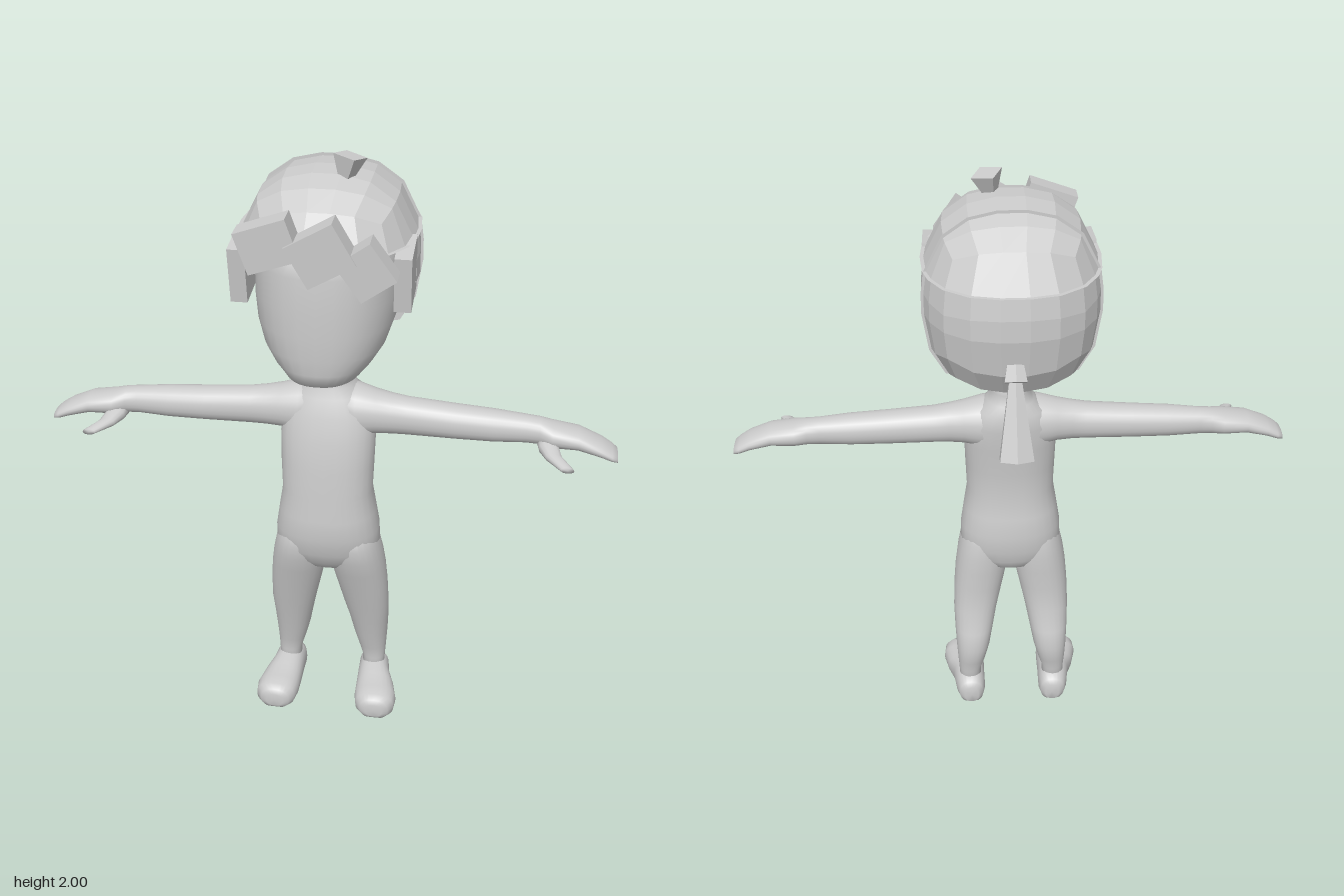
import * as THREE from 'three';

// Loft of superelliptic rings [t, a, b, ra, rb] along one axis (axis order y:(x,z) x:(z,y) z:(y,x))
const PLACE = {
  y: (t, a, b) => [a, t, b],
  x: (t, a, b) => [t, b, a],
  z: (t, a, b) => [b, a, t],
};
function loft(axis, rings, sides = 24, n = 2.2, floor = -Infinity) {
  const pos = [], index = [];
  const put = (t, a, b) => {
    const p = PLACE[axis](t, a, b);
    pos.push(p[0], Math.max(p[1], floor), p[2]);
  };
  const curve = (v) => Math.sign(v) * Math.abs(v) ** (2 / n);
  for (const [t, a, b, ra, rb] of rings)
    for (let j = 0; j < sides; j++) {
      const th = (j / sides) * Math.PI * 2;
      put(t, a + ra * curve(Math.cos(th)), b + rb * curve(Math.sin(th)));
    }
  for (let i = 0; i < rings.length - 1; i++)
    for (let j = 0; j < sides; j++) {
      const k = (j + 1) % sides, p = i * sides, q = p + sides;
      index.push(p + j, q + j, p + k, q + j, q + k, p + k);
    }
  // end caps
  const last = (rings.length - 1) * sides, c = rings.length * sides;
  put(...rings[0].slice(0, 3));
  put(...rings[rings.length - 1].slice(0, 3));
  for (let j = 0; j < sides; j++) {
    const k = (j + 1) % sides;
    index.push(c, j, k, c + 1, last + k, last + j);
  }
  const g = new THREE.BufferGeometry();
  g.setAttribute('position', new THREE.Float32BufferAttribute(pos, 3));
  g.setIndex(index);
  g.computeVertexNormals();
  return g;
}

// Vertical ring from half width and back/front depth
const span = (y, w, back, front) => [y, 0, (back + front) / 2, w, (front - back) / 2];

function mirrored(geo) {
  const g = geo.clone().scale(-1, 1, 1), idx = g.index.array;
  for (let i = 0; i < idx.length; i += 3) [idx[i], idx[i + 1]] = [idx[i + 1], idx[i]];
  g.computeVertexNormals();
  return g;
}

function faceted(geo) {
  const g = geo.toNonIndexed();
  g.computeVertexNormals();
  return g;
}

// Blocky rounded hair volume, cut off below minY and in front of maxZ.
// Grid rows listed in SNAP lie exactly on the cut planes, so the pieces share facets.
const HAIR = { centre: [0, 1.65, 0.04], radius: [0.268, 0.297, 0.292], n: 2.45 };
const SNAP = [{}, { 6: 1.765, '-2': 1.63 }, { 3: 0.12, '-3': -0.06 }];
function hairShell(minY, maxZ) {
  const { centre, radius, n } = HAIR;
  const box = new THREE.BoxGeometry(2, 2, 2, 5, 5, 6), p = box.attributes.position;
  for (let i = 0; i < p.count; i++) {
    const b = [p.getX(i), p.getY(i), p.getZ(i)];
    const d = b.map((v) => Math.tan(v * Math.PI / 4));
    const target = b.map((v, k) => SNAP[k][Math.round(v * 10)]);
    let fixed = 0, free = 0;
    for (let k = 0; k < 3; k++) {
      if (target[k] !== undefined) {
        d[k] = (target[k] - centre[k]) / radius[k];
        fixed += Math.abs(d[k]) ** n;
      } else free += Math.abs(d[k]) ** n;
    }
    const r = ((1 - fixed) / free) ** (1 / n);
    const [x, y, z] = d.map((v, k) => centre[k] + radius[k] * (target[k] === undefined ? v * r : v));
    p.setXYZ(i, x, Math.max(minY, y), Math.min(maxZ, z));
  }
  // one flat normal for each four-sided facet
  const g = faceted(box), nor = g.attributes.normal, v = new THREE.Vector3(), w = new THREE.Vector3();
  for (let i = 0; i < nor.count; i += 6) {
    v.fromBufferAttribute(nor, i).add(w.fromBufferAttribute(nor, i + 3)).normalize();
    for (let j = i; j < i + 6; j++) nor.setXYZ(j, v.x, v.y, v.z);
  }
  return g;
}

export function createModel() {
  const model = new THREE.Group();
  model.name = 'figure';
  const clay = new THREE.MeshStandardMaterial({ color: 0xcccccc });
  clay.name = 'light grey';

  const add = (name, geo, at = [0, 0, 0], turn = [0, 0, 0]) => {
    const m = new THREE.Mesh(geo, clay);
    m.name = name;
    m.position.set(...at);
    m.rotation.set(...turn);
    model.add(m);
  };
  const pair = (name, geo) => {
    add('left' + name, geo);
    add('right' + name, mirrored(geo));
  };

  // Torso and neck
  add('torso', loft('y', [
    span(0.575, 0.05, 0.03, 0.12), span(0.6, 0.11, 0, 0.155), span(0.635, 0.155, -0.015, 0.183),
    span(0.68, 0.174, -0.024, 0.204), span(0.75, 0.171, -0.03, 0.22), span(0.82, 0.16, -0.018, 0.218),
    span(0.9, 0.147, -0.005, 0.21), span(1.0, 0.15, -0.01, 0.205), span(1.1, 0.152, -0.02, 0.19),
    span(1.18, 0.145, -0.03, 0.17), span(1.235, 0.11, -0.028, 0.15), span(1.265, 0.075, -0.01, 0.135),
    span(1.3, 0.062, 0, 0.13), span(1.37, 0.062, 0, 0.13),
  ], 28, 2.3));

  // Legs, narrowing into the hips
  pair('Leg', loft('y', [
    [0.05, 0.153, 0.008, 0.038, 0.04], [0.13, 0.153, 0.008, 0.04, 0.04], [0.18, 0.147, 0.005, 0.049, 0.05],
    [0.25, 0.14, 0.01, 0.06, 0.065], [0.32, 0.135, 0.025, 0.068, 0.066], [0.4, 0.128, 0.05, 0.077, 0.066],
    [0.5, 0.115, 0.067, 0.086, 0.077], [0.58, 0.103, 0.079, 0.091, 0.092], [0.64, 0.096, 0.088, 0.089, 0.1],
    [0.7, 0.09, 0.095, 0.082, 0.104], [0.78, 0.08, 0.1, 0.065, 0.09],
  ]));

  // Feet with flat soles
  pair('Foot', loft('z', [
    [-0.06, 0.04, 0.15, 0.035, 0.025], [-0.05, 0.045, 0.151, 0.05, 0.043], [-0.02, 0.052, 0.153, 0.064, 0.053],
    [0.04, 0.052, 0.158, 0.064, 0.057], [0.09, 0.045, 0.168, 0.056, 0.067], [0.15, 0.042, 0.176, 0.054, 0.074],
    [0.19, 0.04, 0.178, 0.052, 0.068], [0.21, 0.038, 0.178, 0.042, 0.05], [0.216, 0.035, 0.178, 0.025, 0.03],
  ], 24, 2.35, 0));

  // Arms running from broad shoulders into mitten hands
  pair('Arm', loft('x', [
    [0.02, 0.07, 1.17, 0.088, 0.095], [0.09, 0.07, 1.172, 0.082, 0.085], [0.15, 0.072, 1.17, 0.069, 0.07],
    [0.2, 0.073, 1.166, 0.06, 0.064], [0.25, 0.073, 1.162, 0.056, 0.06],
    [0.4, 0.073, 1.155, 0.053, 0.055], [0.52, 0.073, 1.151, 0.05, 0.051], [0.62, 0.072, 1.148, 0.042, 0.044],
    [0.66, 0.074, 1.146, 0.044, 0.042], [0.7, 0.08, 1.14, 0.056, 0.039], [0.78, 0.083, 1.135, 0.056, 0.031],
    [0.85, 0.086, 1.112, 0.054, 0.024], [0.885, 0.086, 1.095, 0.05, 0.019], [0.903, 0.086, 1.086, 0.042, 0.013],
  ]));
  pair('Thumb', loft('z', [
    [0.08, 1.12, 0.685, 0.026, 0.035], [0.13, 1.112, 0.692, 0.022, 0.032],
    [0.17, 1.104, 0.708, 0.015, 0.026], [0.228, 1.1, 0.748, 0.01, 0.02],
  ], 12));

  // Face and skull
  add('head', loft('y', [
    span(1.305, 0.05, 0.02, 0.13), span(1.325, 0.078, -0.015, 0.19), span(1.345, 0.1, -0.03, 0.265),
    span(1.362, 0.118, -0.04, 0.308), span(1.4, 0.15, -0.055, 0.316), span(1.45, 0.183, -0.1, 0.322),
    span(1.52, 0.207, -0.17, 0.325), span(1.6, 0.216, -0.2, 0.325), span(1.7, 0.214, -0.2, 0.322),
    span(1.78, 0.205, -0.18, 0.31), span(1.85, 0.14, -0.12, 0.2),
  ], 32, 2.3));

  // Hair: crown, sides and nape
  add('hairCrown', hairShell(1.765, 1));
  add('hairSides', hairShell(1.63, 0.12));
  add('hairBack', hairShell(1.42, -0.06));

  // Sideburn blocks
  for (const s of [1, -1])
    add(s > 0 ? 'leftSideburn' : 'rightSideburn', faceted(new THREE.BoxGeometry(0.05, 0.17, 0.15)),
      [s * 0.237, 1.68, 0.175], [0.14, 0, 0]);

  // Fringe blocks: x, y, z, width, height, roll
  [
    [-0.128, 1.803, 0.32, 0.155, 0.125, 0.33],
    [0.02, 1.787, 0.328, 0.155, 0.135, 0.52],
    [0.145, 1.745, 0.322, 0.12, 0.13, 0.62],
  ].forEach(([x, y, z, w, h, roll], i) =>
    add('fringe' + (i + 1), faceted(new THREE.BoxGeometry(w, h, 0.07)), [x, y, z], [0.04, 0, roll]));

  // Tuft on the crown
  add('topTuft', faceted(new THREE.CylinderGeometry(0.05, 0.02, 0.07, 4)), [0.06, 1.957, 0.11], [0, 0.35, -0.2]);

  // Ponytail and its tie
  add('ponytail', faceted(new THREE.CylinderGeometry(0.016, 0.058, 0.27, 6)), [0, 1.405, -0.27], [0.37, 0, 0]);
  add('hairTie', faceted(new THREE.CylinderGeometry(0.028, 0.038, 0.05, 6)), [0, 1.525, -0.242], [0.6, 0, 0]);

  return model;
}
